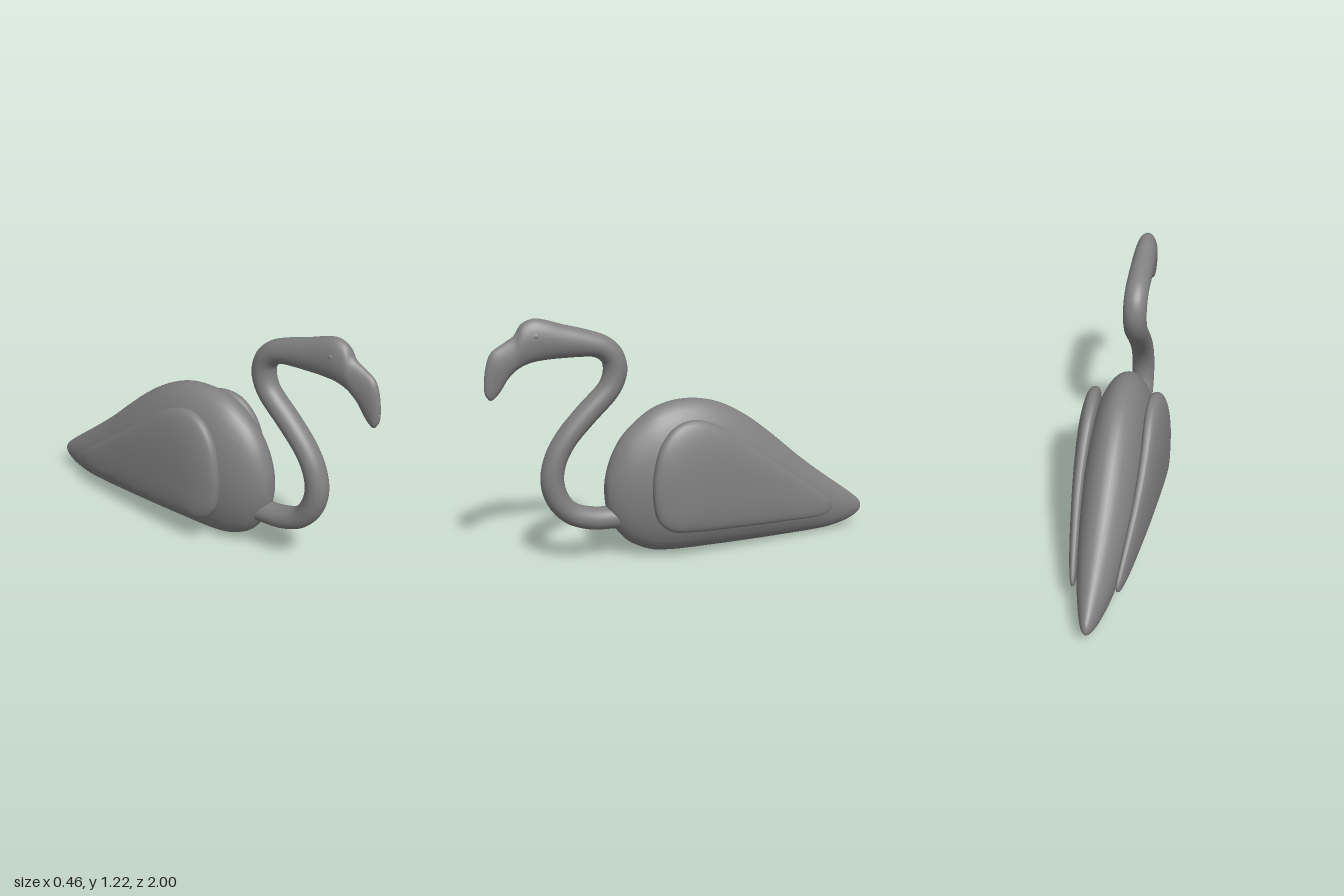
import * as THREE from 'three';
import { mergeVertices } from 'three/addons/utils/BufferGeometryUtils.js';

const material = new THREE.MeshStandardMaterial({ color: 0x808080 });

// Skin a list of closed rings of points into one smooth surface
function skin(rings) {
  const n = rings[0].length, position = [], index = [];
  rings.forEach(ring => ring.forEach(p => position.push(p.x, p.y, p.z)));
  for (let i = 0; i < rings.length - 1; i++) {
    for (let j = 0; j < n; j++) {
      const k = (j + 1) % n;
      const a = i * n + j, b = a + n, c = i * n + k, d = c + n;
      index.push(a, b, c, c, b, d);
    }
  }
  let geometry = new THREE.BufferGeometry();
  geometry.setAttribute('position', new THREE.Float32BufferAttribute(position, 3));
  geometry.setIndex(index);
  geometry = mergeVertices(geometry, 1e-5);
  geometry.computeVertexNormals();
  return geometry;
}

// Elliptical sections between two profile edges; station: [z1, y1, z2, y2, halfWidth]
function loft(stations, steps, sides = 40) {
  const edgeA = new THREE.CatmullRomCurve3(
    stations.map(s => new THREE.Vector3(s[4], s[1], s[0])), false, 'catmullrom');
  const edgeB = new THREE.CatmullRomCurve3(
    stations.map(s => new THREE.Vector3(0, s[3], s[2])), false, 'catmullrom');
  const rings = [];
  for (let i = 0; i <= steps; i++) {
    const a = edgeA.getPoint(i / steps), b = edgeB.getPoint(i / steps);
    const width = Math.max(a.x, 0);
    const ring = [];
    for (let j = 0; j < sides; j++) {
      const t = (j / sides) * Math.PI * 2, s = Math.sin(t);
      ring.push(new THREE.Vector3(
        width * Math.cos(t),
        (a.y + b.y) / 2 + s * (a.y - b.y) / 2,
        (a.z + b.z) / 2 + s * (a.z - b.z) / 2));
    }
    rings.push(ring);
  }
  return skin(rings);
}

// Pillow-shaped wing: the outline shrinks toward its middle on both faces
function wing(side) {
  const outline = new THREE.CatmullRomCurve3([
    [0.02, 0.705], [0.12, 0.68], [0.2, 0.59], [0.24, 0.45], [0.243, 0.33], [0.22, 0.225],
    [0.16, 0.168], [0.05, 0.15], [-0.2, 0.137], [-0.5, 0.124], [-0.68, 0.118],
    [-0.75, 0.132], [-0.77, 0.165], [-0.72, 0.222], [-0.6, 0.31], [-0.4, 0.455],
    [-0.25, 0.565], [-0.1, 0.67],
  ].map(([z, y]) => new THREE.Vector3(0, y, z)), true).getSpacedPoints(90).slice(0, -1);
  const middle = new THREE.Vector3(0, 0.36, -0.08);
  const rings = [];
  for (let i = 0; i <= 28; i++) {
    const a = (i / 28) * Math.PI, c = Math.cos(a);
    const spread = Math.pow(Math.max(Math.sin(a), 0), 0.7);
    const bulge = Math.sign(c) * Math.pow(Math.abs(c), 0.7);
    const ring = outline.map(p => {
      const q = middle.clone().lerp(p, spread);
      // The wing follows the body, closing in toward the tail and the top
      const back = Math.max(0.1 - q.z, 0), rise = Math.max(q.y - 0.37, 0);
      const bend = 0.18 - 0.035 * back - 0.058 * back * back - 0.25 * rise * rise;
      const half = 0.056 - 0.034 * back;
      q.x = side * (bend + half * bulge);
      return q;
    });
    rings.push(side > 0 ? ring : ring.reverse());
  }
  return skin(rings);
}

export function createModel() {
  const model = new THREE.Group();
  model.name = 'longNeckedBird';
  const add = (name, geometry) => {
    const mesh = new THREE.Mesh(geometry, material);
    mesh.name = name;
    model.add(mesh);
    return mesh;
  };

  // Body: upper edge, lower edge, half width, from breast to tail
  add('body', loft([
    [0.43, 0.34, 0.43, 0.34, 0],
    [0.425, 0.42, 0.425, 0.262, 0.036],
    [0.4, 0.505, 0.4, 0.187, 0.068],
    [0.36, 0.585, 0.36, 0.123, 0.095],
    [0.3, 0.657, 0.3, 0.066, 0.121],
    [0.2, 0.733, 0.2, 0.02, 0.146],
    [0.1, 0.77, 0.1, 0.006, 0.156],
    [0, 0.78, 0, 0.002, 0.158],
    [-0.1, 0.768, -0.1, 0.001, 0.156],
    [-0.2, 0.733, -0.2, 0, 0.152],
    [-0.3, 0.677, -0.3, 0, 0.146],
    [-0.4, 0.605, -0.4, 0, 0.138],
    [-0.5, 0.522, -0.5, 0.001, 0.127],
    [-0.6, 0.435, -0.6, 0.002, 0.114],
    [-0.7, 0.355, -0.7, 0.004, 0.098],
    [-0.8, 0.28, -0.8, 0.01, 0.078],
    [-0.9, 0.207, -0.9, 0.03, 0.052],
    [-0.96, 0.16, -0.96, 0.055, 0.032],
    [-0.99, 0.13, -0.99, 0.078, 0.016],
    [-1, 0.1, -1, 0.1, 0],
  ], 114));

  // Neck, head and beak: outer edge, inner edge, half width, from breast to beak tip
  const r = 0.06;
  add('neckAndHead', loft([
    [0.3, 0.21, 0.3, 0.21, 0],
    [0.32, 0.157, 0.32, 0.27, r],
    [0.4, 0.157, 0.4, 0.27, r],
    [0.52, 0.168, 0.485, 0.276, r],
    [0.635, 0.215, 0.575, 0.305, r],
    [0.718, 0.31, 0.62, 0.365, r],
    [0.75, 0.43, 0.637, 0.44, r],
    [0.725, 0.557, 0.622, 0.52, r],
    [0.66, 0.67, 0.572, 0.607, r],
    [0.56, 0.782, 0.478, 0.707, r],
    [0.462, 0.876, 0.375, 0.808, r],
    [0.433, 0.925, 0.327, 0.885, r],
    [0.428, 0.972, 0.311, 0.965, r],
    [0.44, 1.0, 0.338, 1.053, r],
    [0.478, 1.022, 0.405, 1.116, r],
    [0.545, 1.027, 0.51, 1.156, r],
    [0.62, 1.027, 0.62, 1.186, r],
    [0.7, 1.025, 0.7, 1.211, 0.058],
    [0.775, 1.016, 0.76, 1.22, 0.054],
    [0.83, 0.995, 0.815, 1.198, 0.048],
    [0.867, 0.968, 0.85, 1.148, 0.042],
    [0.892, 0.94, 0.9, 1.115, 0.037],
    [0.912, 0.908, 0.96, 1.075, 0.033],
    [0.935, 0.877, 0.987, 1.01, 0.027],
    [0.955, 0.859, 0.998, 0.93, 0.021],
    [0.968, 0.852, 0.996, 0.885, 0.014],
    [0.98, 0.855, 0.98, 0.855, 0],
  ], 162, 36));

  // Mirrored wings and eyes
  for (const [label, side] of [['left', 1], ['right', -1]]) {
    add(label + 'Wing', wing(side));
    const eye = add(label + 'Eye', new THREE.SphereGeometry(0.02, 20, 14));
    eye.position.set(side * 0.036, 1.143, 0.758);
  }
  return model;
}
